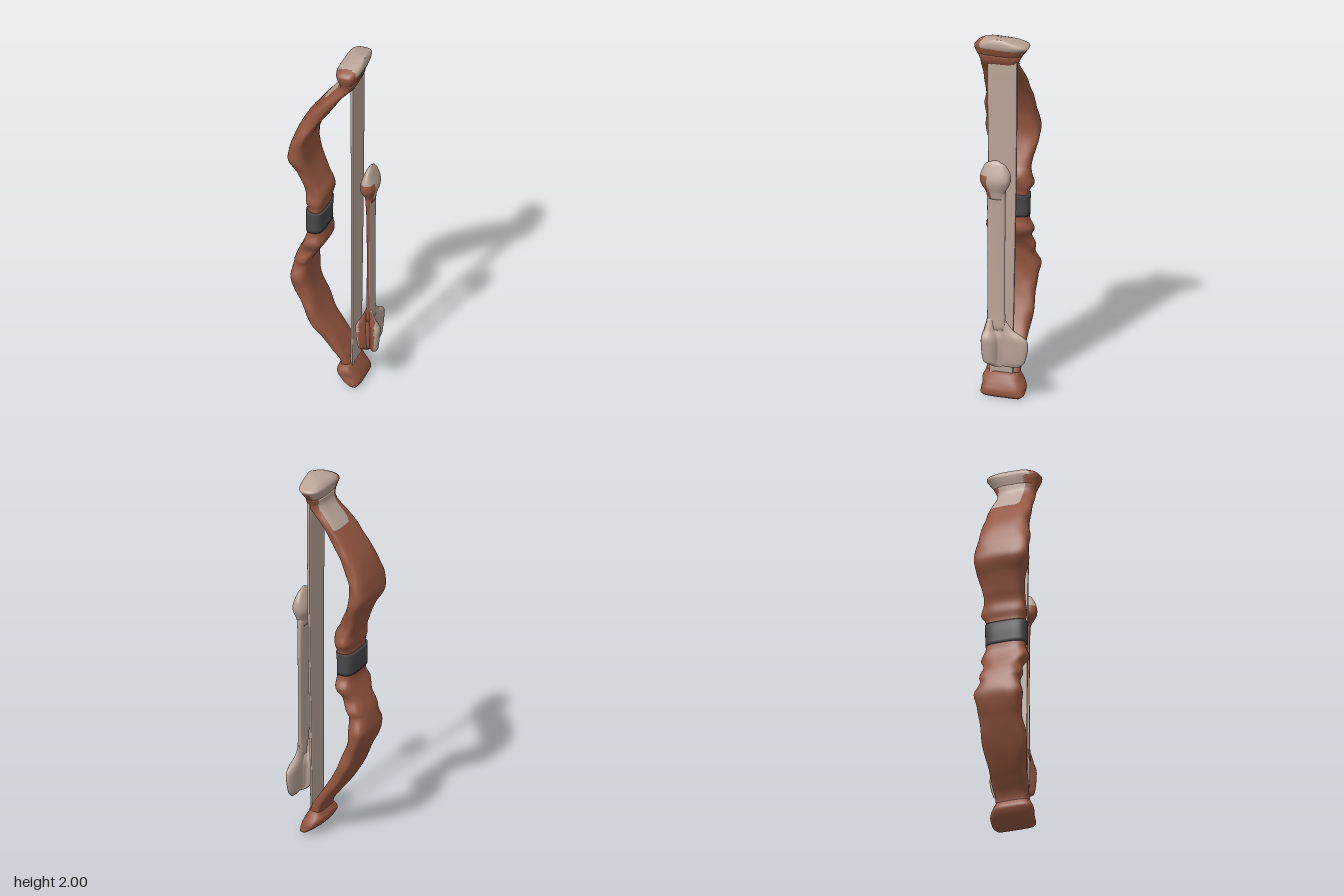
import * as THREE from 'three';

const brown = new THREE.MeshStandardMaterial({ name: 'brown bone', color: 0x945640 });
const pale = new THREE.MeshStandardMaterial({ name: 'pale bone', color: 0xb9a497 });
const dark = new THREE.MeshStandardMaterial({ name: 'dark wrap', color: 0x48484b });

// Rounded-box cross-section, from -1 to 1 on both axes
const rounded = (power) => (a) => [Math.cos(a), Math.sin(a)].map((c) => Math.sign(c) * Math.abs(c) ** power);

// Three-vaned cross-section: one long vane behind, two short ones in front
function vanes(a) {
  const lobe = (at, length) => length * Math.max(0, Math.cos(a - at)) ** 5;
  const r = Math.max(0.4, lobe(0.4, 1.08), lobe(Math.PI - 0.4, 1.08), lobe(-Math.PI / 2, 1.35));
  return [r * Math.cos(a), 0.35 + r * Math.sin(a)];
}

const spline = (a, b, c, d, t) =>
  b + 0.5 * t * (c - a + t * (2 * a - 5 * b + 4 * c - d + t * (3 * (b - c) + d - a)));

// Horizontal slices [y, xMin, xMax, zFront, zBack], bottom to top.
// isSecond(centre, normal) picks the faces that take the second material.
function loft(name, rows, materials, { shape = rounded(0.65), bump = 0, steps = 4, sides = 32, isSecond } = {}) {
  const slices = [];
  const last = rows.length - 1;
  for (let i = 0; i < last; i++) {
    const q = [rows[Math.max(0, i - 1)], rows[i], rows[i + 1], rows[Math.min(last, i + 2)]];
    for (let s = 0; s < steps; s++) {
      slices.push(rows[i].map((_, k) => k === 0
        ? THREE.MathUtils.lerp(q[1][0], q[2][0], s / steps)
        : spline(q[0][k], q[1][k], q[2][k], q[3][k], s / steps)));
    }
  }
  slices.push(rows[last]);

  const points = [];
  for (const [y, x0, x1, zf, zb] of slices) {
    for (let j = 0; j < sides; j++) {
      const a = (j / sides) * Math.PI * 2;
      const [u, v] = shape(a);
      const k = 1 + bump * (Math.sin(a * 3 + y * 23) + Math.sin(a * 5 - y * 41)) * 0.5;
      points.push(new THREE.Vector3((x0 + x1) / 2 + (u * k * (x1 - x0)) / 2, y, (zf + zb) / 2 + (v * k * (zf - zb)) / 2));
    }
  }
  // End caps meet in a centre point
  const ends = [slices[0], slices[slices.length - 1]];
  const low = points.length;
  for (const [y, x0, x1, zf, zb] of ends) points.push(new THREE.Vector3((x0 + x1) / 2, y, (zf + zb) / 2));

  const faces = [];
  const top = (slices.length - 1) * sides;
  for (let j = 0; j < sides; j++) {
    const n = (j + 1) % sides;
    for (let i = 0; i < top; i += sides) {
      faces.push([i + j, i + sides + j, i + n], [i + n, i + sides + j, i + sides + n]);
    }
    faces.push([low, j, n], [low + 1, top + n, top + j]);
  }

  const sets = [[], []];
  const tri = new THREE.Triangle();
  const centre = new THREE.Vector3();
  const normal = new THREE.Vector3();
  for (const f of faces) {
    tri.set(points[f[0]], points[f[1]], points[f[2]]);
    tri.getMidpoint(centre);
    tri.getNormal(normal);
    sets[isSecond && isSecond(centre, normal) ? 1 : 0].push(...f);
  }
  const geometry = new THREE.BufferGeometry().setFromPoints(points);
  geometry.setIndex([...sets[0], ...sets[1]]);
  geometry.addGroup(0, sets[0].length, 0);
  if (sets[1].length) geometry.addGroup(sets[0].length, sets[1].length, 1);
  geometry.computeVertexNormals();
  const mesh = new THREE.Mesh(geometry, materials);
  mesh.name = name;
  return mesh;
}

export function createModel() {
  const model = new THREE.Group();
  model.name = 'boneBow';

  // Curved limbs with knobs on both sides of the grip
  const limbRows = [
    [0.1, 0.03, 0.1, 0.08, -0.1], [0.15, 0.02, 0.085, 0.08, -0.1], [0.2, -0.015, 0.055, 0.09, -0.1],
    [0.28, -0.075, 0.01, 0.1, -0.1], [0.35, -0.12, -0.035, 0.12, -0.105], [0.42, -0.155, -0.07, 0.125, -0.115],
    [0.5, -0.19, -0.1, 0.12, -0.105], [0.57, -0.222, -0.122, 0.125, -0.11], [0.63, -0.235, -0.13, 0.135, -0.12],
    [0.7, -0.222, -0.125, 0.115, -0.095], [0.74, -0.21, -0.115, 0.125, -0.105], [0.8, -0.185, -0.08, 0.115, -0.085],
    [0.86, -0.16, -0.045, 0.14, -0.11], [0.91, -0.145, -0.05, 0.12, -0.09], [1, -0.143, -0.055, 0.12, -0.085],
    [1.07, -0.142, -0.053, 0.12, -0.09], [1.11, -0.15, -0.045, 0.13, -0.11], [1.16, -0.152, -0.042, 0.12, -0.1],
    [1.21, -0.17, -0.07, 0.12, -0.095], [1.3, -0.2, -0.11, 0.14, -0.11], [1.37, -0.235, -0.13, 0.17, -0.12],
    [1.43, -0.23, -0.13, 0.17, -0.115], [1.5, -0.21, -0.118, 0.165, -0.11], [1.6, -0.165, -0.07, 0.145, -0.1],
    [1.7, -0.095, -0.005, 0.135, -0.095], [1.78, -0.03, 0.05, 0.12, -0.095], [1.85, 0.025, 0.11, 0.11, -0.09],
    [1.9, 0.03, 0.125, 0.125, -0.11],
  ];
  model.add(loft('bowLimbs', limbRows, [brown, pale], {
    bump: 0.04,
    isSecond: (c, n) => c.y > 1.74 && n.x < -0.3 && c.z > -0.08 && c.z < 0.065,
  }));

  // Wrapped grip
  model.add(loft('grip', [
    [0.935, -0.148, -0.05, 0.13, -0.092], [1, -0.15, -0.05, 0.13, -0.092], [1.055, -0.149, -0.047, 0.13, -0.095],
  ], [dark]));

  // Flared bone end on top
  model.add(loft('topCap', [
    [1.87, 0.035, 0.11, 0.11, -0.09], [1.9, 0.03, 0.125, 0.13, -0.11], [1.94, 0.018, 0.14, 0.14, -0.14],
    [1.96, 0.018, 0.146, 0.125, -0.15], [1.978, 0.035, 0.146, 0.09, -0.11], [1.99, 0.065, 0.143, 0.055, -0.07],
    [2, 0.1, 0.138, 0.02, -0.03],
  ], [brown, pale], {
    bump: 0.03,
    isSecond: (c, n) => (c.y > 1.938 && c.z < 0.09 + 0.15 * Math.max(0, c.x - 0.08)) || (n.x < -0.3 && c.z < 0.065),
  }));

  // Knuckled bone end at the bottom
  model.add(loft('bottomFoot', [
    [0, 0.105, 0.128, 0.085, -0.11], [0.012, 0.08, 0.138, 0.1, -0.128], [0.035, 0.045, 0.14, 0.103, -0.13],
    [0.06, 0.022, 0.132, 0.1, -0.128], [0.09, 0.01, 0.118, 0.1, -0.115], [0.13, 0.03, 0.1, 0.08, -0.1],
  ], [brown], { bump: 0.04 }));

  // Broad flat string
  model.add(loft('string', [
    [0.1, 0.083, 0.099, 0.058, -0.068], [0.5, 0.084, 0.101, 0.058, -0.075],
    [1.2, 0.086, 0.104, 0.062, -0.088], [1.9, 0.083, 0.107, 0.068, -0.093],
  ], [pale], { shape: rounded(0.35) }));

  // Arrow: front faces are brown, the rest is pale
  const arrow = new THREE.Group();
  arrow.name = 'arrow';
  arrow.add(loft('shaft', [
    [0.4, 0.155, 0.188, 0.045, -0.055], [0.5, 0.16, 0.184, 0.042, -0.053], [0.8, 0.162, 0.184, 0.04, -0.053],
    [1.08, 0.158, 0.186, 0.042, -0.055], [1.18, 0.15, 0.192, 0.045, -0.055],
  ], [pale, brown], { isSecond: (c, n) => n.z > 0.5 }));
  arrow.add(loft('arrowHead', [
    [1.13, 0.152, 0.192, 0.04, -0.05], [1.17, 0.145, 0.2, 0.05, -0.055], [1.21, 0.128, 0.213, 0.075, -0.075],
    [1.24, 0.128, 0.215, 0.08, -0.083], [1.28, 0.14, 0.203, 0.072, -0.078], [1.32, 0.155, 0.188, 0.05, -0.052],
    [1.34, 0.167, 0.177, 0.012, -0.015],
  ], [pale, brown], {
    shape: rounded(0.85),
    isSecond: (c, n) => n.z > 0.2 && c.y < 1.26,
  }));
  arrow.add(loft('fletching', [
    [0.2, 0.15, 0.195, 0.02, -0.13], [0.225, 0.122, 0.22, 0.06, -0.155], [0.27, 0.113, 0.229, 0.07, -0.17],
    [0.32, 0.108, 0.234, 0.073, -0.177], [0.36, 0.107, 0.235, 0.072, -0.165], [0.4, 0.128, 0.213, 0.06, -0.1],
    [0.46, 0.155, 0.188, 0.045, -0.055],
  ], [pale, brown], {
    shape: vanes, sides: 48,
    isSecond: (c, n) => n.z > 0.2 && c.z > 0 && Math.abs(c.x - 0.171) < 0.042,
  }));
  model.add(arrow);
  return model;
}
